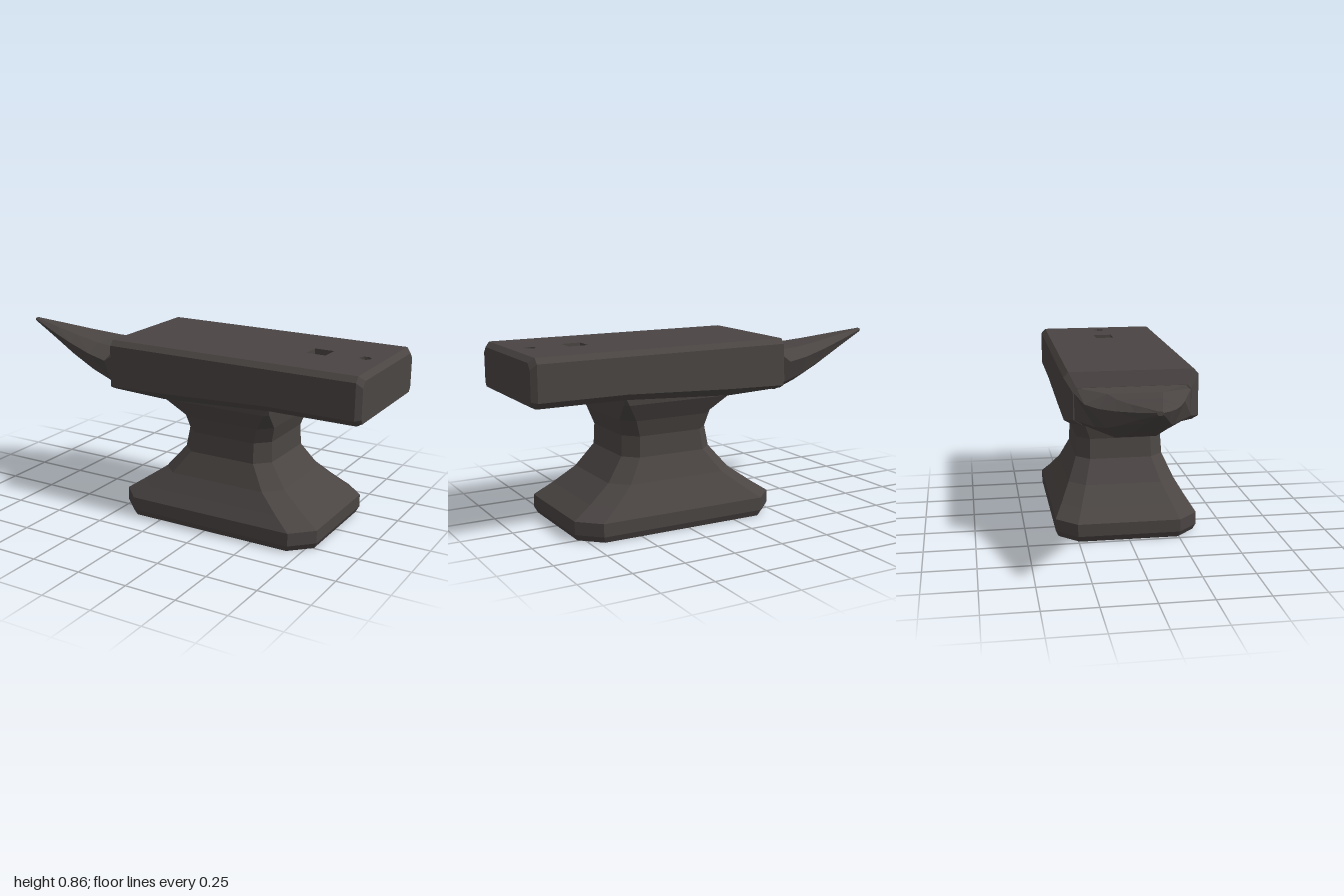
import * as THREE from 'three';

const iron = new THREE.MeshStandardMaterial({ color: 0x4a4543 });
iron.name = 'dark iron';
iron.flatShading = true;
iron.side = THREE.DoubleSide;

// Skin a row of closed rings; skip(i, j) leaves a quad open
function loft(rings, skip = () => false) {
  const pos = [];
  const tri = (...pts) => pts.forEach((p) => pos.push(...p));
  const n = rings[0].length;
  for (let i = 0; i < rings.length - 1; i++) {
    for (let j = 0; j < n; j++) {
      if (skip(i, j)) continue;
      const k = (j + 1) % n;
      const [a, b, c, d] = [rings[i][j], rings[i][k], rings[i + 1][k], rings[i + 1][j]];
      tri(a, b, c);
      tri(a, c, d);
    }
  }
  const first = rings[0], last = rings[rings.length - 1];
  for (let j = 1; j < n - 1; j++) {
    tri(first[0], first[j + 1], first[j]);
    tri(last[0], last[j], last[j + 1]);
  }
  const g = new THREE.BufferGeometry();
  g.setAttribute('position', new THREE.Float32BufferAttribute(pos, 3));
  g.computeVertexNormals();
  return g;
}

// Horizontal rectangle with cut corners
function footRing([y, x0, x1, hz, c]) {
  return [
    [x0 + c, y, hz], [x1 - c, y, hz], [x1, y, hz - c], [x1, y, c - hz],
    [x1 - c, y, -hz], [x0 + c, y, -hz], [x0, y, c - hz], [x0, y, hz - c],
  ];
}

// Upright eight-sided section: four (z, y) points from top to bottom, mirrored in z
function crossRing(x, pts) {
  return [
    ...pts.map(([z, y]) => [x, y, z]),
    ...pts.slice().reverse().map(([z, y]) => [x, y, -z]),
  ];
}

export function createModel() {
  const model = new THREE.Group();
  model.name = 'anvil';
  const add = (name, geometry) => {
    const mesh = new THREE.Mesh(geometry, iron);
    mesh.name = name;
    model.add(mesh);
    return mesh;
  };

  // Foot and waist: y, left x, right x, half depth, corner cut
  add('footAndWaist', loft([
    [0, -0.23, 0.78, 0.34, 0.095],
    [0.03, -0.245, 0.795, 0.354, 0.1],
    [0.093, -0.245, 0.795, 0.354, 0.1],
    [0.15, -0.16, 0.705, 0.317, 0.09],
    [0.23, -0.05, 0.595, 0.27, 0.078],
    [0.34, 0.04, 0.51, 0.223, 0.066],
    [0.44, 0.06, 0.505, 0.218, 0.063],
    [0.52, 0.045, 0.53, 0.242, 0.06],
    [0.605, -0.015, 0.545, 0.286, 0.02],
    [0.645, -0.02, 0.55, 0.29, 0.004],
  ].map(footRing)));

  // Face block, left open above and below the heel for the drilled plates
  const heel = [[0.297, 0.86], [0.32, 0.835], [0.32, 0.665], [0.29, 0.635]];
  const throat = [[0.262, 0.79], [0.28, 0.77], [0.28, 0.64], [0.24, 0.615]];
  add('faceBlock', loft([
    crossRing(-0.32, throat),
    crossRing(-0.29, [[0.297, 0.86], [0.32, 0.835], [0.32, 0.632], [0.29, 0.616]]),
    crossRing(0, [[0.297, 0.86], [0.32, 0.835], [0.32, 0.64], [0.29, 0.605]]),
    crossRing(0.55, heel),
    crossRing(0.975, heel),
    crossRing(1, [[0.275, 0.838], [0.3, 0.81], [0.3, 0.67], [0.285, 0.648]]),
  ], (i, j) => i === 3 && (j === 3 || j === 7)));

  // Heel plates with a square hole and a round hole
  const square = { x: 0.665, r: 0.048 * Math.SQRT2, sides: 4, turn: Math.PI / 4 };
  const round = { x: 0.885, r: 0.028, sides: 12, turn: 0 };
  const plate = (hz) => {
    const s = new THREE.Shape([[0.55, -hz], [0.975, -hz], [0.975, hz], [0.55, hz]]
      .map(([x, y]) => new THREE.Vector2(x, y)));
    for (const h of [square, round]) {
      const pts = [];
      for (let i = 0; i < h.sides; i++) {
        const a = h.turn - (i / h.sides) * Math.PI * 2;
        pts.push(new THREE.Vector2(h.x + h.r * Math.cos(a), h.r * Math.sin(a)));
      }
      s.holes.push(new THREE.Path(pts));
    }
    return new THREE.ShapeGeometry(s);
  };
  add('heelTop', plate(0.297).rotateX(-Math.PI / 2).translate(0, 0.86, 0));
  add('heelUnderside', plate(0.29).rotateX(Math.PI / 2).translate(0, 0.635, 0));

  // Hole walls
  for (const [name, h] of [['squareHoleWall', square], ['roundHoleWall', round]]) {
    const wall = new THREE.CylinderGeometry(h.r, h.r, 0.225, h.sides, 1, true, h.turn);
    wall.scale(1, 1, -1);
    add(name, wall.translate(h.x, 0.7475, 0));
  }

  // Horn: x, half width, top y, widest y, lower flank y, bottom y
  const horn = [
    [-1, 0.015, 0.834, 0.828, 0.82, 0.815],
    [-0.84, 0.075, 0.814, 0.793, 0.762, 0.742],
    [-0.68, 0.134, 0.793, 0.762, 0.7, 0.667],
    [-0.52, 0.19, 0.776, 0.737, 0.648, 0.602],
    [-0.39, 0.235, 0.774, 0.728, 0.62, 0.566],
  ].map(([x, w, a, b, c, d]) =>
    crossRing(x, [[w * 0.55, a], [w, b], [w * 0.8, c], [w * 0.4, d]]));
  add('horn', loft([...horn, crossRing(-0.315, throat)]));

  return model;
}
